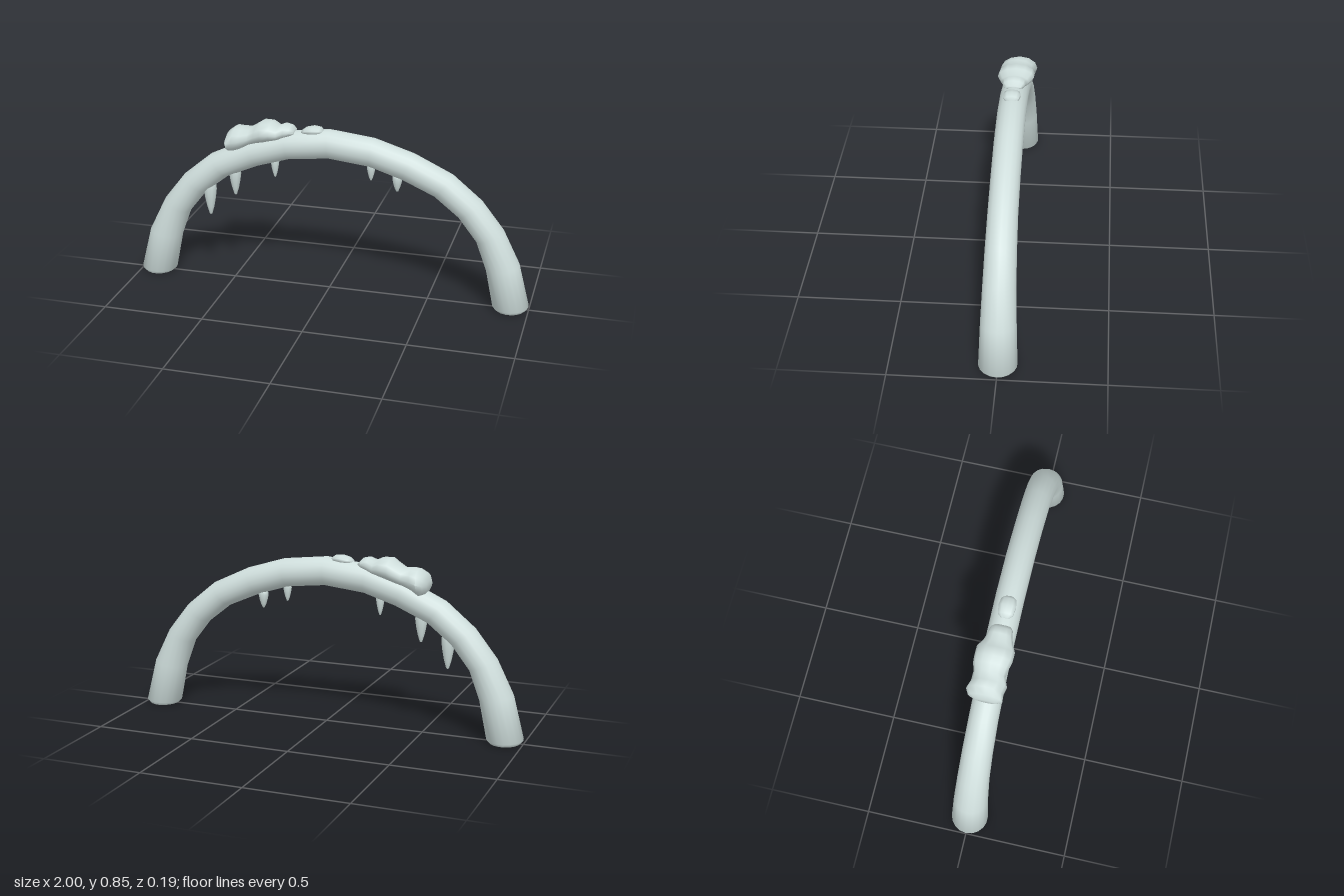
import * as THREE from 'three';
import { toCreasedNormals } from 'three/addons/utils/BufferGeometryUtils.js';

const paleIce = new THREE.MeshStandardMaterial({ color: 0xcfdedc });
paleIce.name = 'paleIce';

// Skin through elliptical sections [topX, topY, bottomX, bottomY, backZ, frontZ], running from -x to +x
function loft(sections, sides, crease) {
  const pos = [], index = [];
  for (const [ax, ay, bx, by, z0, z1] of sections) {
    for (let j = 0; j < sides; j++) {
      const t = (j / sides) * Math.PI * 2, c = Math.cos(t) / 2, s = Math.sin(t) / 2;
      pos.push((ax + bx) / 2 + (ax - bx) * c, (ay + by) / 2 + (ay - by) * c, (z0 + z1) / 2 + (z1 - z0) * s);
    }
  }
  const last = sections.length - 1;
  for (let i = 0; i < last; i++) {
    for (let j = 0; j < sides; j++) {
      const k = (j + 1) % sides, a = i * sides, b = a + sides;
      index.push(a + j, a + k, b + j, a + k, b + k, b + j);
    }
  }
  // End caps
  for (const i of [0, last]) {
    const [ax, ay, bx, by, z0, z1] = sections[i], centre = pos.length / 3;
    pos.push((ax + bx) / 2, (ay + by) / 2, (z0 + z1) / 2);
    for (let j = 0; j < sides; j++) {
      const p = i * sides + j, q = i * sides + ((j + 1) % sides);
      index.push(centre, i ? p : q, i ? q : p);
    }
  }
  const geometry = new THREE.BufferGeometry();
  geometry.setAttribute('position', new THREE.Float32BufferAttribute(pos, 3));
  geometry.setIndex(index);
  return toCreasedNormals(geometry, crease);
}

export function createModel() {
  const model = new THREE.Group();
  model.name = 'icyArch';
  const add = (name, geometry) => {
    const mesh = new THREE.Mesh(geometry, paleIce);
    mesh.name = name;
    model.add(mesh);
    return mesh;
  };

  // Arch: half of the sections, mirrored about x = 0
  const half = [
    [-0.985, 0, -0.835, 0, 0.08],
    [-1, 0.018, -0.822, 0.012, 0.09],
    [-0.945, 0.23, -0.782, 0.2, 0.083],
    [-0.86, 0.4, -0.73, 0.34, 0.077],
    [-0.75, 0.54, -0.64, 0.455, 0.073],
    [-0.605, 0.66, -0.52, 0.55, 0.07],
    [-0.415, 0.75, -0.36, 0.62, 0.069],
    [-0.22, 0.81, -0.2, 0.67, 0.069],
  ].map(([ax, ay, bx, by, z]) => [ax, ay, bx, by, -z, z]);
  const mirrored = half.map(([ax, ay, bx, ...rest]) => [-ax, ay, -bx, ...rest]).reverse();
  add('arch', loft([...half, [0, 0.835, 0, 0.692, -0.069, 0.069], ...mirrored], 18, 1));

  // Lumpy snow lying along the top
  add('snowDrift', loft([
    [-0.522, 0.755, -0.52, 0.71, -0.05, 0.05],
    [-0.507, 0.79, -0.51, 0.69, -0.085, 0.078],
    [-0.475, 0.813, -0.485, 0.679, -0.1, 0.074],
    [-0.44, 0.814, -0.445, 0.7, -0.085, 0.084],
    [-0.4, 0.812, -0.4, 0.722, -0.083, 0.067],
    [-0.365, 0.834, -0.365, 0.734, -0.093, 0.074],
    [-0.335, 0.854, -0.33, 0.744, -0.094, 0.084],
    [-0.29, 0.852, -0.285, 0.758, -0.092, 0.086],
    [-0.255, 0.834, -0.25, 0.765, -0.07, 0.07],
    [-0.222, 0.849, -0.22, 0.774, -0.058, 0.058],
    [-0.192, 0.842, -0.188, 0.79, -0.052, 0.054],
    [-0.172, 0.822, -0.172, 0.803, -0.035, 0.04],
  ], 12, 1.2));

  // Small separate snow patch
  add('snowPatch', loft([
    [-0.136, 0.824, -0.136, 0.81, -0.018, 0.024],
    [-0.118, 0.838, -0.118, 0.806, -0.035, 0.04],
    [-0.08, 0.848, -0.08, 0.806, -0.041, 0.046],
    [-0.045, 0.844, -0.045, 0.812, -0.034, 0.04],
    [-0.028, 0.83, -0.028, 0.818, -0.014, 0.02],
  ], 10, 1.2));

  // Icicles hanging below: x, top y, tip y, radius
  [
    [-0.62, 0.535, 0.33, 0.033],
    [-0.485, 0.62, 0.45, 0.03],
    [-0.277, 0.685, 0.565, 0.021],
    [0.207, 0.695, 0.595, 0.021],
    [0.337, 0.65, 0.55, 0.025],
  ].forEach(([x, top, tip, r], i) => {
    const h = top - tip;
    const profile = [[0, 0], [0.22, 0.03], [0.55, 0.22], [0.82, 0.45], [1, 0.68], [0.9, 0.86], [0.5, 0.97], [0, 1]]
      .map(([px, py]) => new THREE.Vector2(px * r, py * h));
    add('icicle' + (i + 1), new THREE.LatheGeometry(profile, 10)).position.set(x, tip, 0);
  });

  return model;
}
